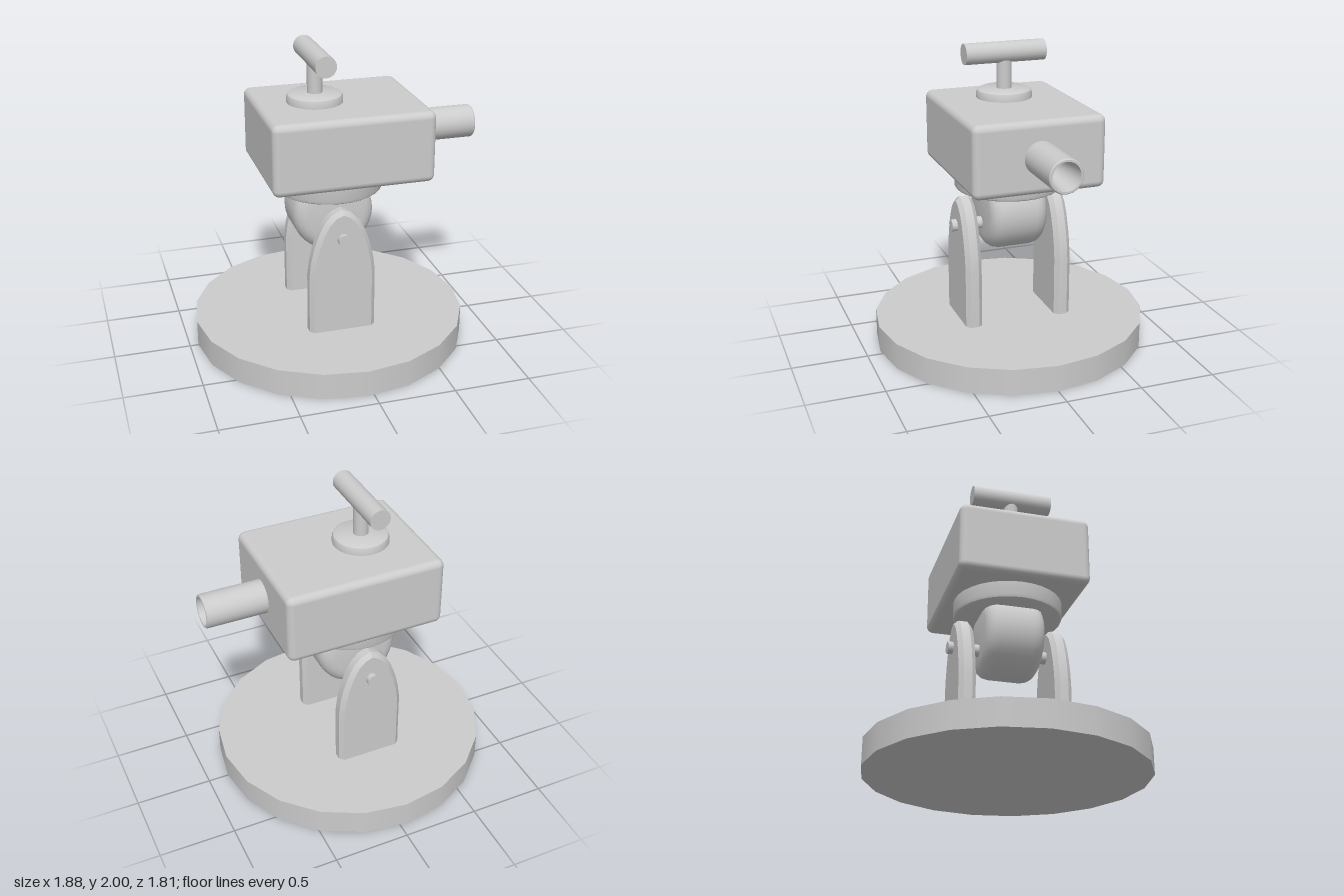
import * as THREE from 'three';
import { toCreasedNormals } from 'three/addons/utils/BufferGeometryUtils.js';
import { RoundedBoxGeometry } from 'three/addons/geometries/RoundedBoxGeometry.js';

const AXIS_X = -0.04; // shared axis of base, brackets and pivot
const KNOB_X = -0.125;

export function createModel() {
  const model = new THREE.Group();
  const material = new THREE.MeshStandardMaterial({ color: 0xcccccc });

  function add(name, geometry, x, y, z) {
    const mesh = new THREE.Mesh(geometry, material);
    mesh.name = name;
    mesh.position.set(x, y, z);
    model.add(mesh);
    return mesh;
  }

  // Turned part from [radius, height] pairs, listed from the bottom up
  function turned(profile, sides = 32) {
    const points = profile.map(([r, h]) => new THREE.Vector2(r, h));
    return toCreasedNormals(new THREE.LatheGeometry(points, sides), 0.6);
  }

  const rod = (radius, length, sides = 24) => new THREE.CylinderGeometry(radius, radius, length, sides);

  // Base plate
  add('base', rod(0.905, 0.175, 20), AXIS_X, 0.0875, 0);

  // Pair of arched brackets with chamfered edges, feet sunk into the base
  const arch = [[0.22, 0.1], [0.22, 0.57], [0.208, 0.67], [0.185, 0.77],
    [0.15, 0.87], [0.11, 0.945], [0.06, 0.995]];
  const outline = new THREE.Shape([
    ...arch.map(([x, y]) => new THREE.Vector2(x, y)),
    new THREE.Vector2(0, 1.02),
    ...arch.map(([x, y]) => new THREE.Vector2(-x, y)).reverse(),
  ]);
  const bracket = new THREE.ExtrudeGeometry(outline, {
    depth: 0.054, bevelEnabled: true, bevelSegments: 1,
    bevelThickness: 0.028, bevelSize: 0.028, bevelOffset: -0.028,
  });
  bracket.translate(0, 0, -0.027);
  const bracketGeometry = toCreasedNormals(bracket, 0.4);
  for (const side of [1, -1]) {
    add(side > 0 ? 'frontBracket' : 'backBracket', bracketGeometry, AXIS_X, 0, side * 0.31);
  }

  // Hinge pin through both brackets
  add('hingePin', rod(0.04, 0.8), AXIS_X, 0.825, 0).rotation.x = Math.PI / 2;

  // Pivot drum lying across the hinge, with rounded rims
  const pivot = [];
  const rim = 0.09;
  for (const side of [-1, 1]) {
    if (side < 0) pivot.push([0, -0.195]);
    for (let i = 0; i <= 4; i++) {
      const a = (side < 0 ? i - 4 : i) * Math.PI / 8;
      pivot.push([0.268 - rim + rim * Math.cos(a), side * (0.195 - rim) + rim * Math.sin(a)]);
    }
    if (side > 0) pivot.push([0, 0.195]);
  }
  add('pivot', turned(pivot), AXIS_X, 0.92, 0).rotation.x = Math.PI / 2;

  // Turntable collar under the housing
  add('collar', turned([[0, 0], [0.34, 0], [0.352, 0.008], [0.358, 0.025], [0.358, 0.14], [0, 0.14]]),
    AXIS_X, 1.06, 0);

  // Main housing
  add('housing', new RoundedBoxGeometry(1.045, 0.465, 0.86, 3, 0.045), 0.0225, 1.4075, 0);

  // Side spout with a funnel-shaped bore
  add('spout', turned([[0, 0], [0.108, 0], [0.108, 0.432], [0.102, 0.44], [0.09, 0.44], [0.055, 0.12], [0, 0.12]]),
    0.5, 1.41, 0).rotation.z = -Math.PI / 2;

  // Knob plate, stem and crossbar on top
  add('knobPlate', turned([[0, 0], [0.181, 0], [0.181, 0.035], [0.174, 0.054], [0.155, 0.065], [0, 0.065]]),
    KNOB_X, 1.635, 0);
  add('knobStem', rod(0.049, 0.25), KNOB_X, 1.79, 0);
  add('knobHandle', rod(0.068, 0.54), KNOB_X, 1.932, 0).rotation.x = Math.PI / 2;

  return model;
}
